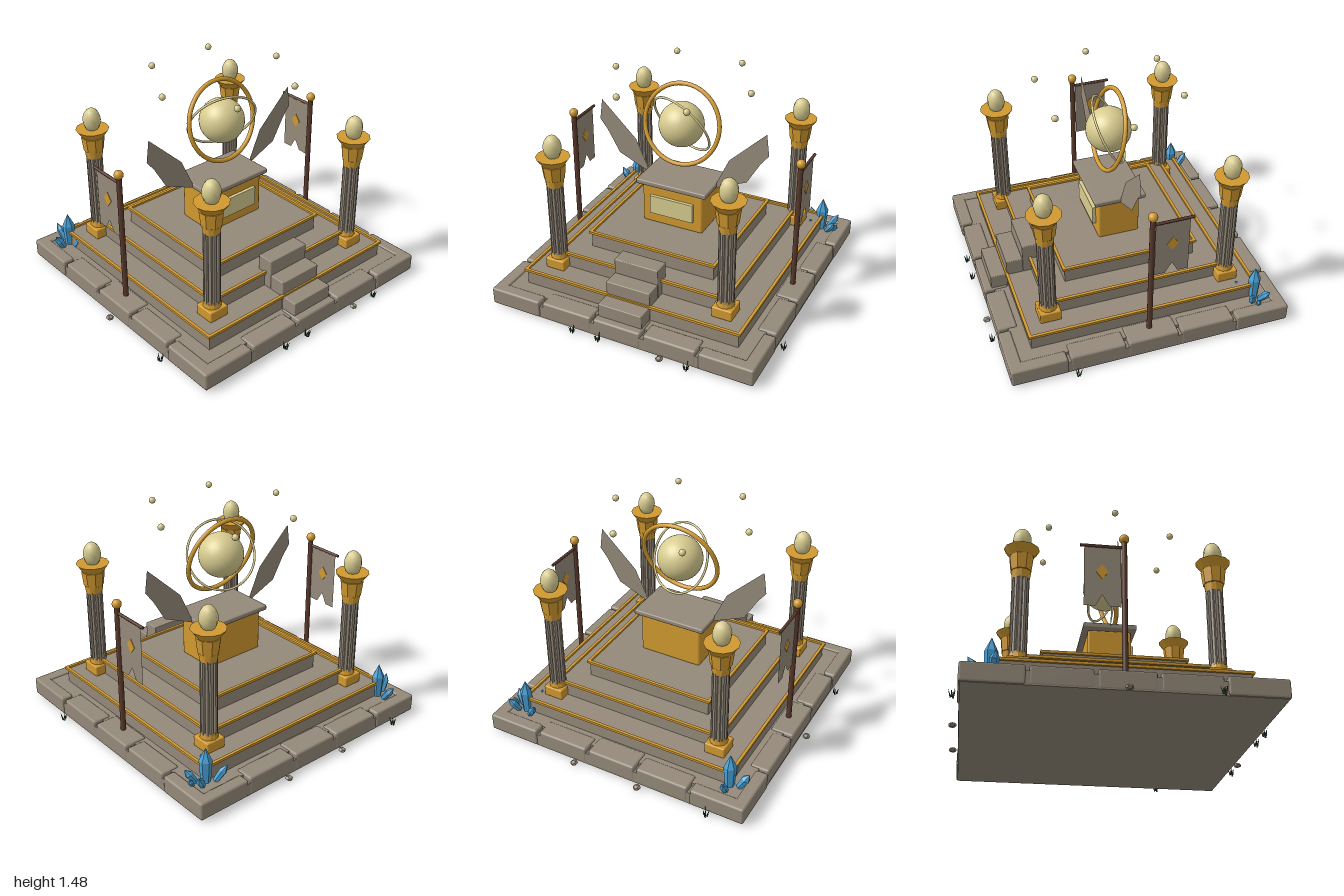
import * as THREE from 'three';
import { RoundedBoxGeometry } from 'three/addons/geometries/RoundedBoxGeometry.js';

const material = (name, color, extra = {}) => Object.assign(new THREE.MeshStandardMaterial({ color, ...extra }), { name });

export function createModel() {
  const root = new THREE.Group();
  root.name = 'celestialShrine';
  const stone = material('stone', 0x958a7a);
  const facetedStone = material('stoneFaceted', 0x958a7a, { flatShading: true });
  const cloth = material('clothGrey', 0x968b7b, { side: THREE.DoubleSide });
  const gold = material('gold', 0xd29a30);
  const facetedGold = material('goldFaceted', 0xd29a30, { flatShading: true });
  const pale = material('paleGold', 0xd8cc90);
  const wood = material('darkWood', 0x5a3a2c);
  const crystal = material('blueCrystal', 0x4aa2d6, { flatShading: true });
  const grass = material('darkGrass', 0x1f3d20, { side: THREE.DoubleSide });

  const add = (name, geometry, mat, x = 0, y = 0, z = 0, parent = root) => {
    const mesh = new THREE.Mesh(geometry, mat);
    mesh.name = name;
    mesh.position.set(x, y, z);
    parent.add(mesh);
    return mesh;
  };
  // Box given by its bottom and top heights
  const block = (name, mat, w, y0, y1, d, x = 0, z = 0, r = 0, parent = root) => add(name,
    r ? new RoundedBoxGeometry(w, y1 - y0, d, 1, r) : new THREE.BoxGeometry(w, y1 - y0, d),
    mat, x, (y0 + y1) / 2, z, parent);
  const polygon = points => new THREE.ShapeGeometry(new THREE.Shape(points.map(p => new THREE.Vector2(...p))));

  // Foundation with a border of separate stones
  block('foundation', stone, 1.87, 0.012, 0.1, 1.87);
  block('floor', stone, 1.74, 0.08, 0.125, 1.74);
  const spans = [[-0.945, -0.575], [-0.555, -0.19], [-0.17, 0.17], [0.19, 0.555], [0.575, 0.945]];
  spans.forEach(([a, b], i) => {
    const corner = i === 0 || i === 4;
    const depth = corner ? 0.085 : i === 2 ? 0.16 : 0.13;
    const outer = corner ? 0.945 : 0.938;
    for (const s of [-1, 1]) {
      block('borderStone', stone, b - a, 0.014, 0.135, depth, (a + b) / 2, s * (outer - depth / 2), 0.014);
      block('borderStone', stone, depth, 0.014, 0.135, b - a, s * (outer - depth / 2), (a + b) / 2, 0.014);
    }
  });

  // Three tiers, each with a gold edge
  for (const [half, y0, y1] of [[0.77, 0.11, 0.225], [0.605, 0.22, 0.325], [0.45, 0.32, 0.43]]) {
    block('tier', stone, half * 2, y0, y1, half * 2);
    for (const s of [-1, 1]) {
      block('tierTrim', gold, half * 2 + 0.03, y1 - 0.003, y1 + 0.014, 0.02, 0, s * (half + 0.005));
      block('tierTrim', gold, 0.02, y1 - 0.003, y1 + 0.014, half * 2 + 0.03, s * (half + 0.005), 0);
    }
  }

  // Front steps
  [[0.83, 0.228], [0.717, 0.33], [0.603, 0.433]].forEach(([z, top]) =>
    block('step', stone, 0.315, 0.12, top, 0.115, 0, z, 0.006));

  // Pillars: fluted shaft, gold base and capital, bowl and egg-shaped light
  const flutes = 10;
  const shaft = new THREE.CylinderGeometry(0.055, 0.055, 0.52, flutes * 4, 1);
  const sp = shaft.attributes.position;
  for (let i = 0; i < sp.count; i++) {
    const a = Math.atan2(sp.getZ(i), sp.getX(i));
    const k = Math.cos(a * flutes) < -0.1 ? 0.8 : 1;
    sp.setX(i, sp.getX(i) * k);
    sp.setZ(i, sp.getZ(i) * k);
  }
  shaft.computeVertexNormals();
  for (const x of [-0.61, 0.61]) for (const z of [-0.61, 0.61]) {
    const pillar = new THREE.Group();
    pillar.name = 'pillar';
    pillar.position.set(x, 0, z);
    root.add(pillar);
    block('pillarPlinth', gold, 0.14, 0.225, 0.3, 0.14, 0, 0, 0.008, pillar);
    add('pillarFoot', new THREE.CylinderGeometry(0.052, 0.06, 0.05, 12), facetedGold, 0, 0.32, 0, pillar);
    add('pillarShaft', shaft, facetedStone, 0, 0.59, 0, pillar);
    add('pillarCollar', new THREE.CylinderGeometry(0.062, 0.055, 0.055, 12), facetedGold, 0, 0.865, 0, pillar);
    add('pillarCapital', new THREE.CylinderGeometry(0.08, 0.068, 0.1, 8), facetedGold, 0, 0.945, 0, pillar).rotation.y = Math.PI / 8;
    add('bowl', new THREE.CylinderGeometry(0.112, 0.07, 0.058, 12), facetedGold, 0, 1.022, 0, pillar);
    add('eggLight', new THREE.SphereGeometry(0.06, 10, 10), pale, 0, 1.115, 0, pillar).scale.y = 1.42;
  }

  // Altar with inset panel and stone top
  block('altar', gold, 0.445, 0.43, 0.72, 0.285, 0, 0, 0.014);
  block('altarPanel', pale, 0.315, 0.512, 0.645, 0.03, 0, 0.15);
  block('altarTop', stone, 0.515, 0.722, 0.757, 0.35, 0, 0, 0.008);

  // Floating globe with two rings
  const cy = 1.143;
  add('globe', new THREE.SphereGeometry(0.152, 32, 24), pale, 0, cy, 0);
  add('outerRing', new THREE.TorusGeometry(0.27, 0.015, 10, 56), gold, 0, cy, 0).rotation.x = -0.255;
  add('innerRing', new THREE.TorusGeometry(0.234, 0.008, 8, 56), pale, 0, cy, 0).quaternion.setFromUnitVectors(
    new THREE.Vector3(0, 0, 1), new THREE.Vector3(-0.3, -0.45, 0.84).normalize());

  // Six small orbs in a circle
  for (let i = 0; i < 6; i++) {
    const a = i * Math.PI / 3;
    add('orb', new THREE.SphereGeometry(0.022, 12, 8), pale, 0.482 * Math.cos(a), 1.46, 0.418 / 0.866 * Math.sin(a));
  }

  // Flat wings and banners, mirrored left and right
  for (const s of [-1, 1]) {
    add('wing', polygon([[0.255, 0.727], [0.473, 0.822], [0.565, 0.98], [0.62, 1.05], [0.6, 1.2], [0.345, 0.955], [0.258, 0.765]]
      .map(([x, y]) => [s * x, y])), cloth);

    const banner = new THREE.Group();
    banner.name = 'banner';
    banner.position.x = s * 0.835;
    root.add(banner);
    add('bannerPole', new THREE.CylinderGeometry(0.018, 0.018, 0.91, 12), wood, 0, 0.575, 0, banner);
    add('poleBall', new THREE.SphereGeometry(0.031, 16, 12), gold, 0, 1.047, 0, banner);
    add('crossbar', new THREE.CylinderGeometry(0.01, 0.01, 0.27, 8), wood, 0, 0.987, -0.135, banner).rotation.x = Math.PI / 2;
    add('bannerCloth', polygon([[0.02, 0.985], [0.245, 0.985], [0.245, 0.58], [0.175, 0.58], [0.135, 0.655], [0.09, 0.58], [0.02, 0.58]]),
      cloth, 0, 0, 0, banner).rotation.y = Math.PI / 2;
    const emblem = add('bannerDiamond', new THREE.CylinderGeometry(0.05, 0.05, 0.008, 4), facetedGold, 0, 0.81, -0.135, banner);
    emblem.rotation.z = Math.PI / 2;
    emblem.scale.z = 0.76;
  }

  // Crystal clusters on the back corners: offset, radius, height, tilt
  const shards = [
    [0, 0, 0.042, 0.24, 0, 0], [-0.06, 0.01, 0.03, 0.13, 0.15, 0.5], [0.05, 0.02, 0.026, 0.12, 0.2, -0.6],
    [0.01, 0.06, 0.026, 0.12, 0.6, -0.1], [0, -0.06, 0.026, 0.13, -0.6, 0.1], [0.05, 0.08, 0.018, 0.06, 0.3, -0.3],
  ];
  for (const s of [-1, 1]) {
    const cluster = new THREE.Group();
    cluster.name = 'crystalCluster';
    cluster.position.set(s * 0.768, 0.125, -0.768);
    cluster.rotation.y = s > 0 ? 0.9 : 0;
    root.add(cluster);
    for (const [x, z, r, h, rx, rz] of shards) {
      const profile = [[0, 0], [r * 0.75, 0], [r, h * 0.62], [0, h]].map(p => new THREE.Vector2(...p));
      add('crystalShard', new THREE.LatheGeometry(profile, 6), crystal, x, 0, z, cluster).rotation.set(rx, 0, rz);
    }
  }

  // Grass tufts and pebbles around the edge
  for (const [x, z] of [[-0.975, 0.54], [0.975, 0.52], [-0.31, 0.968], [-0.12, 0.97], [0.51, 0.972], [-0.71, -0.975]]) {
    for (let i = 0; i < 5; i++) {
      const a = i * 2.4;
      const blade = add('grassBlade', new THREE.ConeGeometry(0.007, 0.04 + 0.008 * (i % 4), 3), grass,
        x + 0.016 * Math.cos(a), 0.032, z + 0.016 * Math.sin(a));
      blade.rotation.set(0.3 * Math.sin(a), 0, -0.3 * Math.cos(a));
    }
  }
  for (const [x, z] of [[-0.972, 0], [-0.215, -0.972], [0.262, -0.97], [0.322, 0.965]]) {
    add('pebble', new THREE.DodecahedronGeometry(0.026), facetedStone, x, 0.018, z).scale.y = 0.65;
  }
  return root;
}
